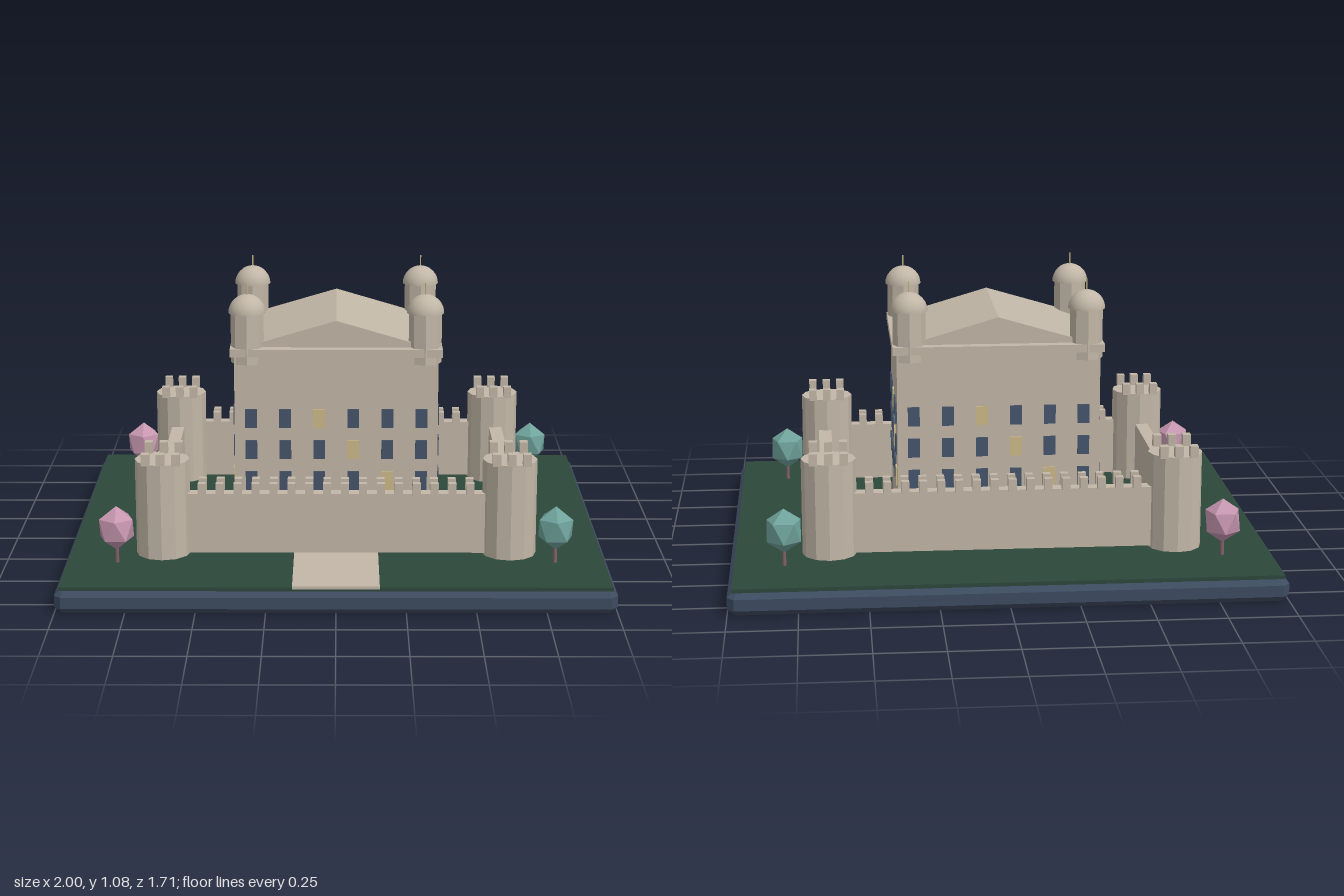
import * as THREE from 'three';

function material(name, color) {
  const m = new THREE.MeshStandardMaterial({ color });
  m.name = name;
  return m;
}

export function createModel() {
  const root = new THREE.Group();
  root.name = 'castle';

  const stone = material('stone', 0xc2b7a7);
  const slate = material('slate', 0x3d4b60);
  const grass = material('grass', 0x2d473b);
  const glass = material('window glass', 0x45546b);
  const glow = material('lit window', 0xcdb987);
  const bark = material('bark', 0x84606c);
  const pink = material('pink leaves', 0xc796b0);
  const teal = material('teal leaves', 0x70a39c);

  function add(name, geometry, mat, x = 0, y = 0, z = 0, parent = root) {
    const mesh = new THREE.Mesh(geometry, mat);
    mesh.name = name;
    mesh.position.set(x, y, z);
    parent.add(mesh);
    return mesh;
  }
  // Box given by its centre in plan and its bottom and top heights
  function block(name, mat, x, z, w, d, y0, y1, parent = root) {
    return add(name, new THREE.BoxGeometry(w, y1 - y0, d), mat, x, (y0 + y1) / 2, z, parent);
  }
  function group(name, x = 0, y = 0, z = 0) {
    const g = new THREE.Group();
    g.name = name;
    g.position.set(x, y, z);
    root.add(g);
    return g;
  }

  // Chamfered plinth
  const bevel = 0.022, hx = 1 - bevel, hz = 0.855 - bevel, cut = 0.012;
  const outline = new THREE.Shape([
    [-hx + cut, -hz], [hx - cut, -hz], [hx, -hz + cut], [hx, hz - cut],
    [hx - cut, hz], [-hx + cut, hz], [-hx, hz - cut], [-hx, -hz + cut],
  ].map(([x, y]) => new THREE.Vector2(x, y)));
  const plinth = new THREE.ExtrudeGeometry(outline, {
    depth: 0.086 - 2 * bevel, bevelEnabled: true, bevelSegments: 1,
    bevelSize: bevel, bevelThickness: bevel,
  });
  plinth.rotateX(-Math.PI / 2);
  add('plinth', plinth, slate, 0, bevel, 0);
  block('lawn', grass, 0, 0, 1.965, 1.68, 0.084, 0.098);
  block('path', stone, 0, 0.548, 0.31, 0.614, 0.097, 0.107);

  // Curtain walls, with a double row of merlons on the front and back
  for (const s of [-1, 1]) {
    block('sideWall', stone, s * 0.643, 0, 0.05, 0.79, 0.12, 0.345);
    const wall = group(s > 0 ? 'frontWall' : 'backWall', 0, 0, s * 0.498);
    block('wall', stone, 0, 0, 1.09, 0.05, 0.12, 0.345, wall);
    for (let i = 0; i < 16; i++) {
      for (const side of [-1, 1]) {
        block('merlon', stone, -0.489 + i * 0.0652, side * 0.032, 0.029, 0.026, 0.345, 0.39, wall);
      }
    }
  }

  // Corner towers
  const towerShaft = new THREE.CylinderGeometry(0.1, 0.1, 0.358, 12).toNonIndexed();
  towerShaft.computeVertexNormals();
  for (const sx of [-1, 1]) {
    for (const sz of [-1, 1]) {
      const tower = group('cornerTower', sx * 0.635, 0, sz * 0.488);
      add('shaft', towerShaft, stone, 0, 0.291, 0, tower);
      for (const dx of [-0.055, 0, 0.055]) {
        for (const dz of [-0.083, 0.083]) {
          block('merlon', stone, dx, dz, 0.03, 0.032, 0.468, 0.512, tower);
        }
      }
    }
  }

  // Keep: body, cornice and gabled roof with its ridge running front to back
  block('keepBody', stone, 0, 0, 0.755, 0.63, 0.1, 0.82);
  block('cornice', stone, 0, 0, 0.785, 0.66, 0.81, 0.84);
  const gable = new THREE.Shape([
    new THREE.Vector2(-0.34, 0), new THREE.Vector2(0.34, 0), new THREE.Vector2(0, 0.1),
  ]);
  add('roof', new THREE.ExtrudeGeometry(gable, { depth: 0.58, bevelEnabled: false }), stone, 0, 0.84, -0.29);

  // Windows on all four faces, with a diagonal of lit ones
  const pane = new THREE.BoxGeometry(0.044, 0.072, 0.009);
  for (let face = 0; face < 4; face++) {
    const wide = face % 2 === 0;
    const count = wide ? 6 : 5;
    const g = group('windows');
    g.rotation.y = face * Math.PI / 2;
    for (let row = 0; row < 3; row++) {
      for (let col = 0; col < count; col++) {
        const lit = row + col === 4;
        add(lit ? 'litWindow' : 'window', pane, lit ? glow : glass,
          (col - (count - 1) / 2) * 0.1265, 0.335 + row * 0.12, wide ? 0.3165 : 0.379, g);
      }
    }
  }

  // Domed turrets on the corners of the keep
  const dome = new THREE.SphereGeometry(0.069, 16, 8, 0, Math.PI * 2, 0, Math.PI / 2);
  const domeBase = new THREE.CircleGeometry(0.069, 16).rotateX(Math.PI / 2);
  const turretShaft = new THREE.CylinderGeometry(0.061, 0.061, 0.19, 8).toNonIndexed();
  turretShaft.computeVertexNormals();
  const spike = new THREE.CylinderGeometry(0.003, 0.003, 0.05, 6);
  for (const sx of [-1, 1]) {
    for (const sz of [-1, 1]) {
      const turret = group('turret', sx * 0.329, 0, sz * 0.271);
      add('shaft', turretShaft, stone, 0, 0.875, 0, turret);
      add('dome', dome, stone, 0, 0.967, 0, turret);
      add('domeUnderside', domeBase, stone, 0, 0.967, 0, turret);
      add('spike', spike, glow, 0, 1.053, 0, turret);
    }
  }

  // Faceted trees, each crown standing on a corner point
  const crown = new THREE.IcosahedronGeometry(0.072, 0);
  crown.rotateX(-Math.atan((1 + Math.sqrt(5)) / 2));
  crown.scale(1, 1.15, 1);
  crown.computeVertexNormals();
  const trunk = new THREE.CylinderGeometry(0.007, 0.008, 0.08, 6);
  for (const sx of [-1, 1]) {
    for (const z of [-0.582, 0.564]) {
      const tree = group('tree', sx * 0.8, 0, z);
      add('trunk', trunk, bark, 0, 0.137, 0, tree);
      add('crown', crown, sx < 0 ? pink : teal, 0, 0.229, 0, tree);
    }
  }

  return root;
}
